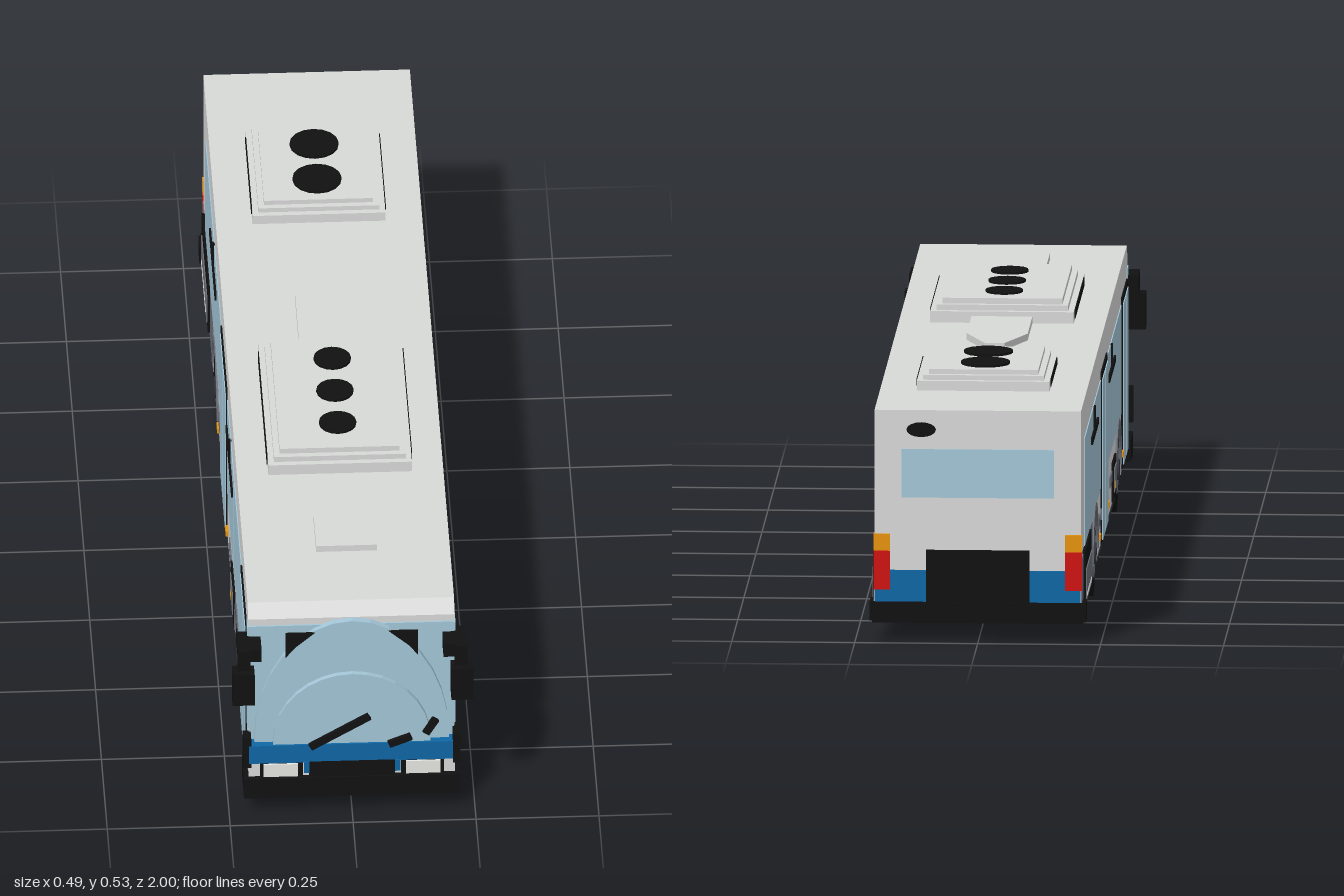
import * as THREE from 'three';

const mat = (name, color, side = THREE.FrontSide) => {
  const m = new THREE.MeshStandardMaterial({ color, side });
  m.name = name;
  return m;
};

export function createModel() {
  const bus = new THREE.Group();
  bus.name = 'cityBus';
  const white = mat('bodyWhite', 0xd8dad8);
  const glass = mat('glassBlue', 0xa4c7d8);
  const blue = mat('stripeBlue', 0x1067a6);
  const black = mat('trimBlack', 0x111111);
  const under = mat('chassisGrey', 0x34353c);
  const grey = mat('skirtGrey', 0x6c7079);
  const lamp = mat('lampWhite', 0xeeeeea);
  const amber = mat('amber', 0xe8950f);
  const red = mat('red', 0xd01512);

  const add = (name, geo, m) => {
    const mesh = new THREE.Mesh(geo, m);
    mesh.name = name;
    bus.add(mesh);
    return mesh;
  };
  const box = (name, m, x0, x1, y0, y1, z0, z1) => {
    const g = new THREE.BoxGeometry(x1 - x0, y1 - y0, z1 - z0);
    return add(name, g.translate((x0 + x1) / 2, (y0 + y1) / 2, (z0 + z1) / 2), m);
  };
  // thin plate on a side wall; s is the sign of x, t how far it stands out
  const side = (name, m, s, z0, z1, y0, y1, t = 0.002) => {
    const a = s * 0.2, b = s * (0.21 + t);
    return box(name, m, Math.min(a, b), Math.max(a, b), y0, y1, z0, z1);
  };
  const both = fn => [-1, 1].forEach(fn);
  const rear = (name, m, x0, x1, y0, y1, t = 0.003) =>
    box(name, m, x0, x1, y0, y1, -0.994 - t, -0.985);
  const axles = [-0.445, 0.515];

  // Body shell: side outline with wheel arches, extruded across the width
  const p = new THREE.Shape();
  p.moveTo(-0.994, 0.055);
  for (const c of axles) {
    p.lineTo(c - 0.1, 0.055);
    p.lineTo(c - 0.1, 0.08);
    p.absarc(c, 0.08, 0.1, Math.PI, 0, true);
    p.lineTo(c + 0.1, 0.055);
  }
  p.lineTo(0.925, 0.055);
  p.lineTo(0.925, 0.455);
  p.lineTo(0.9, 0.48);
  p.lineTo(-0.994, 0.48);
  p.closePath();
  const shell = new THREE.ExtrudeGeometry(p, { depth: 0.42, bevelEnabled: false, curveSegments: 12 });
  add('bodyShell', shell.translate(0, 0, -0.21).rotateY(-Math.PI / 2), white);
  box('underside', under, -0.205, 0.205, 0.048, 0.057, -0.985, 0.93);
  for (const c of axles) box('archLining', under, -0.075, 0.075, 0.05, 0.19, c - 0.11, c + 0.11);

  // Wheels with arch rims and hubs
  for (const c of axles) both(s => {
    const disc = (name, r, x, w, m) => {
      const g = new THREE.CylinderGeometry(r, r, w, 20).rotateZ(Math.PI / 2);
      add(name, g.translate(s * x, 0.088, c), m);
    };
    disc('tyre', 0.088, 0.147, 0.122, black);
    disc('rim', 0.05, 0.203, 0.014, grey);
    disc('hub', 0.022, 0.207, 0.014, under);
    const a = new THREE.Shape();
    a.absarc(0, 0, 0.112, 0, Math.PI, false);
    a.absarc(0, 0, 0.098, Math.PI, 0, true);
    const g = new THREE.ExtrudeGeometry(a, { depth: 0.008, bevelEnabled: false });
    add('archRim', g.rotateY(Math.PI / 2).translate(s * 0.21 - 0.004, 0.08, c), grey);
    side('mudflap', black, s, c - 0.108, c - 0.096, 0.04, 0.1, 0);
  });

  // Left-hand windows, door-side windows
  for (const [a, b] of [[-0.87, -0.392], [-0.384, 0.126], [0.134, 0.606], [0.614, 0.85]])
    side('sideWindow', glass, 1, a, b, 0.18, 0.403);
  for (const [a, b] of [[-0.87, -0.392], [-0.384, -0.21], [0.06, 0.35], [0.358, 0.65]])
    side('sideWindow', glass, -1, a, b, 0.18, 0.403);
  both(s => side('frontQuarterWindow', glass, s, 0.89, 0.926, 0.19, 0.435));

  // Window rails with a centre latch
  for (const [s, z] of [[1, 0.492], [1, 0], [1, -0.502], [-1, 0.205], [-1, -0.502]]) {
    side('windowRail', black, s, z - 0.12, z + 0.12, 0.344, 0.358, 0.006);
    side('windowLatch', black, s, z - 0.007, z + 0.007, 0.358, 0.403, 0.006);
  }

  // Two double-leaf doors
  for (const [a, b] of [[-0.19, 0.04], [0.67, 0.885]]) {
    side('doorFrame', black, -1, a, b, 0.06, 0.415, 0.003);
    const mid = (a + b) / 2;
    side('doorLeaf', glass, -1, a + 0.008, mid - 0.004, 0.068, 0.4, 0.005);
    side('doorLeaf', glass, -1, mid + 0.004, b - 0.008, 0.068, 0.4, 0.005);
  }

  // Skirt details
  both(s => {
    side('rearSkirt', grey, s, -0.994, -0.56, 0.057, 0.175);
    side('frontSkirt', grey, s, 0.63, 0.925, 0.055, 0.095, 0.001);
    side('sill', under, s, -0.33, 0.4, 0.05, 0.06, 0.001);
    side('engineGrilleFrame', black, s, -0.935, -0.675, 0.065, 0.18, 0.006);
    side('engineGrille', grey, s, -0.915, -0.695, 0.075, 0.14, 0.008);
    side('engineGrilleBar', lamp, s, -0.9, -0.72, 0.083, 0.09, 0.009);
    side('batteryHatch', black, s, 0.26, 0.385, 0.065, 0.145, 0.004);
    side('batteryPanel', grey, s, 0.28, 0.365, 0.082, 0.13, 0.006);
    side('batteryMarker', amber, s, 0.3, 0.32, 0.088, 0.1, 0.007);
    for (const z of [0.2, -0.155, -0.28]) side('skirtVent', grey, s, z - 0.04, z + 0.04, 0.112, 0.134, 0.003);
    for (const z of [0.66, 0.08, -0.29]) side('sideMarker', amber, s, z - 0.012, z + 0.012, 0.088, 0.1, 0.006);
    side('lowerBumperCorner', black, s, 0.87, 0.95, 0.04, 0.085, 0.01);
    side('rearBumperCorner', black, s, -0.994, -0.95, 0.045, 0.085, 0.01);
  });

  // Front: stepped windscreen bulging toward its lower middle
  box('windscreen', glass, -0.209, 0.209, 0.16, 0.44, 0.915, 0.929);
  const bulge = (name, w, top, z) => {
    const a = new THREE.Shape();
    a.moveTo(-w, 0.16);
    a.lineTo(w, 0.16);
    for (let i = 0; i <= 16; i++) {
      const t = (i / 16) * Math.PI;
      a.lineTo(w * Math.cos(t), 0.17 + (top - 0.17) * Math.sin(t));
    }
    add(name, new THREE.ExtrudeGeometry(a, { depth: 0.014, bevelEnabled: false }).translate(0, 0, z), glass);
  };
  bulge('windscreenOuter', 0.198, 0.455, 0.926);
  bulge('windscreenInner', 0.16, 0.332, 0.937);
  box('frontStripe', blue, -0.21, 0.21, 0.12, 0.163, 0.9, 0.955);
  box('nosePanel', white, -0.21, 0.21, 0.08, 0.122, 0.9, 0.95);
  box('noseGrille', black, -0.087, 0.087, 0.08, 0.122, 0.94, 0.957);
  box('frontBumper', black, -0.22, 0.22, 0.04, 0.086, 0.9, 0.962);
  both(s => {
    const sb = (name, m, a, b, ...r) => box(name, m, Math.min(s * a, s * b), Math.max(s * a, s * b), ...r);
    sb('headlampSurround', black, 0.1, 0.187, 0.085, 0.12, 0.94, 0.953);
    sb('headlamp', lamp, 0.11, 0.18, 0.088, 0.118, 0.94, 0.957);
    sb('grilleEdge', blue, 0.087, 0.098, 0.095, 0.122, 0.94, 0.957);
    sb('cornerPost', black, 0.205, 0.221, 0.11, 0.182, 0.925, 0.955);
    // dark corner patch inside the windscreen
    const c = new THREE.Shape([[0.075, 0.43], [0.135, 0.43], [0.135, 0.37], [0.115, 0.395]]
      .map(([x, y]) => new THREE.Vector2(s * x, y)));
    add('windscreenCorner', new THREE.ExtrudeGeometry(c, { depth: 0.004, bevelEnabled: false }).translate(0, 0, 0.939), black);
    // mirror and its arm
    sb('mirrorArm', black, 0.185, 0.233, 0.385, 0.416, 0.91, 0.975);
    sb('mirrorStem', black, 0.208, 0.233, 0.365, 0.416, 0.955, 0.985);
    sb('mirror', black, 0.2, 0.245, 0.295, 0.37, 0.965, 1.0);
  });
  // Wipers
  for (const [x0, y0, x1, y1] of [[-0.085, 0.158, 0.035, 0.23], [0.075, 0.16, 0.12, 0.178], [0.15, 0.185, 0.17, 0.218]]) {
    const g = new THREE.BoxGeometry(Math.hypot(x1 - x0, y1 - y0), 0.015, 0.01);
    g.rotateZ(Math.atan2(y1 - y0, x1 - x0));
    add('wiper', g.translate((x0 + x1) / 2, (y0 + y1) / 2, 0.954), black);
  }

  // Rear end
  rear('rearWindow', glass, -0.155, 0.155, 0.3, 0.4);
  rear('rearStripe', blue, -0.209, 0.209, 0.08, 0.15);
  rear('rearVent', black, -0.105, 0.105, 0.08, 0.192, 0.005);
  rear('rearBumper', black, -0.215, 0.215, 0.042, 0.085, 0.006);
  const oval = new THREE.CylinderGeometry(0.03, 0.03, 0.006, 16).rotateX(Math.PI / 2).scale(1, 0.5, 1);
  add('rearRoofVent', oval.translate(0.115, 0.44, -0.995), black);
  both(s => {
    const x0 = s > 0 ? 0.178 : -0.212, x1 = x0 + 0.034;
    rear('tailLamp', red, x0, x1, 0.11, 0.19, 0.005);
    rear('rearIndicator', amber, x0, x1, 0.19, 0.225, 0.005);
  });

  // Roof units built in narrowing steps, with louvres and fans
  const unit = (w, z0, z1, h, r, fans) => {
    for (let i = 0; i < 3; i++) {
      const d = i * 0.012;
      box('roofUnit', white, -w + d, w - d, 0.475, 0.48 + h * (0.5 + i * 0.25), z0 + d, z1 - d);
    }
    both(s => box('roofLouvre', black, s * w - 0.002, s * w + 0.002, 0.485, 0.48 + h * 0.48, z0 + 0.03, z1 - 0.03));
    for (const z of fans)
      add('roofFan', new THREE.CylinderGeometry(r, r, 0.01, 16).translate(0, 0.48 + h, z), black);
  };
  unit(0.146, 0.005, 0.445, 0.047, 0.038, [0.105, 0.22, 0.335]);
  unit(0.135, -0.77, -0.455, 0.04, 0.05, [-0.55, -0.675]);
  box('roofHatch', white, -0.062, 0.062, 0.475, 0.494, 0.6, 0.725);
  const fin = new THREE.Shape([[-0.062, 0], [0.062, 0], [0.062, 0.2], [0.02, 0.31], [-0.02, 0.31], [-0.062, 0.2]]
    .map(([x, y]) => new THREE.Vector2(x, y)));
  add('roofFairing', new THREE.ExtrudeGeometry(fin, { depth: 0.015, bevelEnabled: false })
    .rotateX(-Math.PI / 2).translate(0, 0.479, 0.01), white);
  return bus;
}
